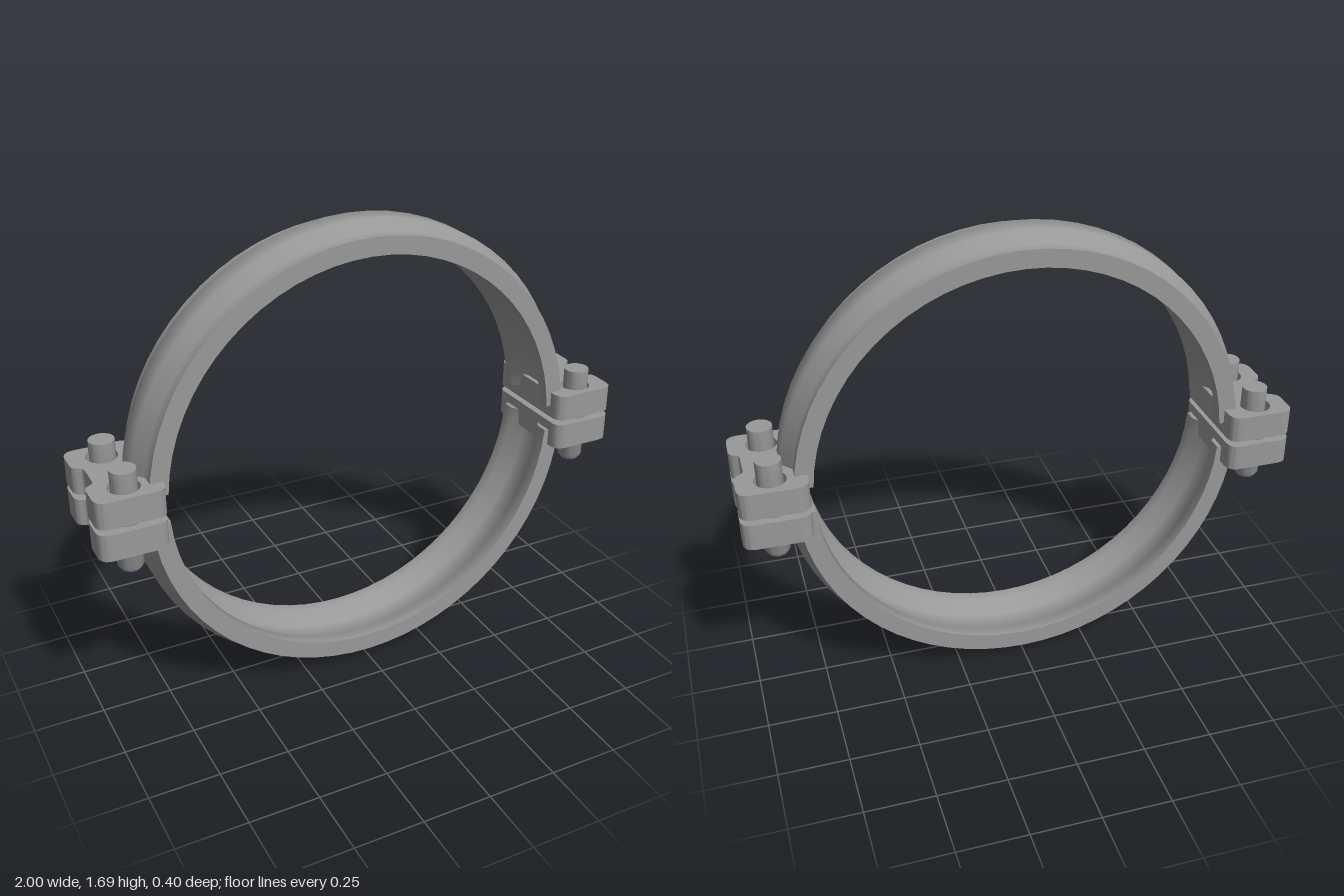
import * as THREE from 'three';
import { toCreasedNormals } from 'three/addons/utils/BufferGeometryUtils.js';

const MID = 0.848; // height of the ring axis
const material = new THREE.MeshStandardMaterial({ color: 0x999999 });
const thin = new THREE.MeshStandardMaterial({ color: 0x999999, side: THREE.DoubleSide });

function add(parent, name, geometry, mat = material) {
  const mesh = new THREE.Mesh(geometry, mat);
  mesh.name = name;
  parent.add(mesh);
  return mesh;
}

// Half ring: humped band, channelled on the inside, with flat end caps
function halfRing(name) {
  const group = new THREE.Group();
  group.name = name;
  const profile = [
    [0.745, -0.127], [0.81, -0.127], [0.81, -0.078], [0.845, -0.036], [0.845, 0.054],
    [0.81, 0.096], [0.81, 0.145], [0.745, 0.145],
    [0.745, 0.096], [0.784, 0.048], [0.784, -0.03], [0.745, -0.078],
  ].map(([r, z]) => new THREE.Vector2(r, z));
  const cut = 0.066; // angle left open at each end
  const start = Math.PI / 2 + cut, sweep = Math.PI - 2 * cut;
  const band = new THREE.LatheGeometry([...profile, profile[0].clone()], 32, start, sweep);
  band.rotateX(Math.PI / 2);
  add(group, 'band', toCreasedNormals(band, 0.9), thin);
  for (const phi of [start, start + sweep]) {
    const cap = new THREE.ShapeGeometry(new THREE.Shape(profile));
    cap.rotateY(phi - Math.PI / 2).rotateX(Math.PI / 2);
    add(group, 'bandEnd', cap, thin);
  }
  group.position.y = MID;
  return group;
}

// Polygon with rounded corners; each point is [x, y, radius]
function roundedShape(points) {
  const shape = new THREE.Shape();
  const n = points.length;
  points.forEach(([x, y, r], i) => {
    const p = new THREE.Vector2(x, y);
    const toward = ([qx, qy]) =>
      new THREE.Vector2(qx, qy).sub(p).setLength(r).add(p);
    const a = toward(points[(i + n - 1) % n]);
    const b = toward(points[(i + 1) % n]);
    if (i === 0) shape.moveTo(a.x, a.y);
    else shape.lineTo(a.x, a.y);
    shape.quadraticCurveTo(x, y, b.x, b.y);
  });
  shape.closePath();
  return shape;
}

// Lug plate, waisted on the outside, with two bolt holes; its top face is at y = 0
function lugGeometry(thickness) {
  const half = [
    [0.76, -0.202, 0.045], [1.0, -0.202, 0.045],
    [1.0, -0.074, 0.022], [0.964, -0.058, 0.015],
  ];
  const mirrored = half.map(([x, z, r]) => [x, -z, r]).reverse();
  const shape = roundedShape([...half, ...mirrored]);
  for (const z of [-0.121, 0.121]) {
    const hole = new THREE.Path();
    hole.absarc(0.883, z, 0.055, 0, Math.PI * 2, true);
    shape.holes.push(hole);
  }
  const geometry = new THREE.ExtrudeGeometry(shape, {
    depth: thickness, bevelEnabled: false, curveSegments: 12,
  });
  geometry.rotateX(Math.PI / 2);
  return toCreasedNormals(geometry, 0.9);
}

// Bolt shank with a flat top and a chamfered tip
function boltGeometry() {
  const points = [[0, 0.65], [0.033, 0.65], [0.045, 0.668], [0.045, 1.02], [0, 1.02]];
  const lathe = new THREE.LatheGeometry(points.map(([r, y]) => new THREE.Vector2(r, y)), 28);
  return toCreasedNormals(lathe, 0.8);
}

export function createModel() {
  const model = new THREE.Group();
  model.name = 'pipeClamp';

  const upper = halfRing('upperRing');
  const lower = halfRing('lowerRing');
  lower.rotation.z = Math.PI;
  model.add(upper, lower);

  const lug = lugGeometry(0.097);
  const bolt = boltGeometry();
  for (const side of [1, -1]) {
    const joint = new THREE.Group();
    joint.name = side > 0 ? 'leftJoint' : 'rightJoint';
    for (const [name, top] of [['upperLug', 0.951], ['lowerLug', 0.833]]) {
      const plate = add(joint, name, lug);
      plate.position.y = top;
      plate.rotation.y = side > 0 ? 0 : Math.PI;
    }
    // The rear bolt sits slightly off the centre of its hole
    for (const [name, z] of [['frontBolt', 0.125], ['rearBolt', -0.106]]) {
      add(joint, name, bolt).position.set(side * 0.883, 0, z);
    }
    model.add(joint);
  }
  return model;
}
